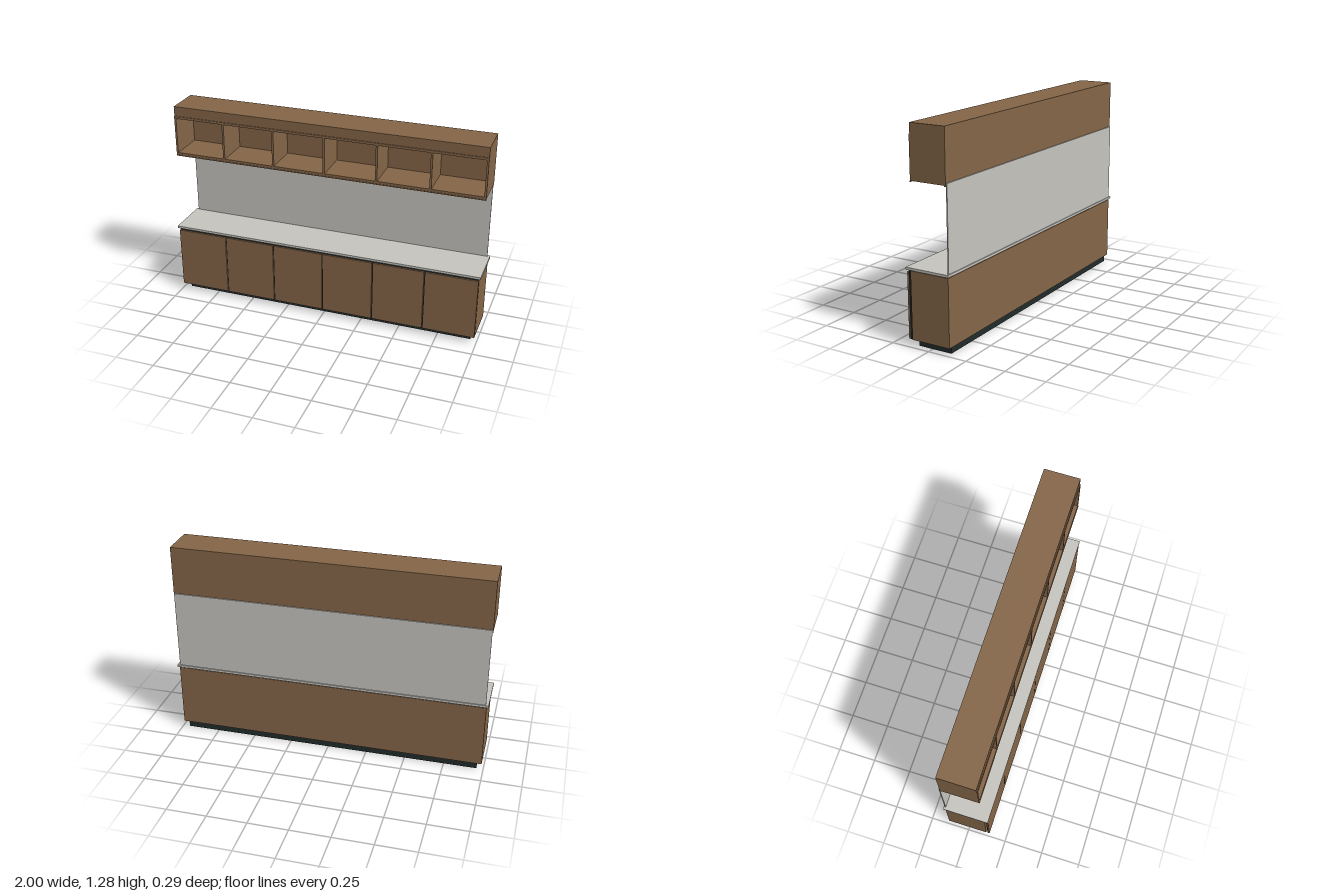
import * as THREE from 'three';

export function createModel() {
  const root = new THREE.Group();
  root.name = 'kitchenWall';

  const mat = (name, color) => {
    const m = new THREE.MeshStandardMaterial({ color });
    m.name = name;
    return m;
  };
  const wood = mat('walnutWood', 0x856648);
  const stone = mat('paleStone', 0xc6c5bf);
  const dark = mat('darkPlinth', 0x212b2b);

  // Box given by its lower and upper limits on each axis
  const box = (parent, name, material, [x0, x1], [y0, y1], [z0, z1]) => {
    const mesh = new THREE.Mesh(new THREE.BoxGeometry(x1 - x0, y1 - y0, z1 - z0), material);
    mesh.position.set((x0 + x1) / 2, (y0 + y1) / 2, (z0 + z1) / 2);
    mesh.name = name;
    parent.add(mesh);
    return mesh;
  };
  const group = (name) => {
    const g = new THREE.Group();
    g.name = name;
    root.add(g);
    return g;
  };

  const W = 0.988; // half width of the cabinets
  const bays = 6;
  const pitch = (2 * W) / bays;

  // Base cabinet: plinth, carcass, dark backing and six doors
  const base = group('baseCabinet');
  box(base, 'plinth', dark, [-0.957, 0.957], [0, 0.042], [-0.125, 0.093]);
  box(base, 'carcass', wood, [-W, W], [0.042, 0.45], [-0.135, 0.118]);
  box(base, 'doorBacking', dark, [-W + 0.002, W - 0.002], [0.042, 0.45], [0.127, 0.131]);
  for (let i = 0; i < bays; i++) {
    const x = -W + i * pitch;
    const left = i === 0 ? 0 : 0.003;
    const right = i === bays - 1 ? 0 : 0.003;
    box(base, 'door', wood, [x + left, x + pitch - right], [0.045, 0.443], [0.131, 0.141]);
  }

  // Worktop and splashback
  box(root, 'worktop', stone, [-1, 1], [0.457, 0.472], [-0.143, 0.143]);
  box(root, 'splashback', stone, [-0.984, 0.984], [0.472, 0.976], [-0.137, -0.13]);

  // Wall unit: open shelves between back panel, floor, roof and uprights
  const wall = group('wallUnit');
  box(wall, 'backPanel', wood, [-W, W], [0.957, 1.22], [-0.13, -0.12]);
  box(wall, 'shelfFloor', wood, [-W, W], [0.963, 0.978], [-0.12, 0.103]);
  box(wall, 'shelfRoof', wood, [-W, W], [1.205, 1.22], [-0.12, 0.103]);
  box(wall, 'frontLip', wood, [-W, W], [0.957, 0.963], [0.099, 0.106]);
  for (let i = 0; i <= bays; i++) {
    const x = THREE.MathUtils.clamp(-W + i * pitch, -W + 0.006, W - 0.006);
    box(wall, 'upright', wood, [x - 0.006, x + 0.006], [0.978, 1.205], [-0.12, 0.103]);
  }
  box(wall, 'topFascia', wood, [-W, W], [1.22, 1.282], [-0.13, 0.098]);

  return root;
}
